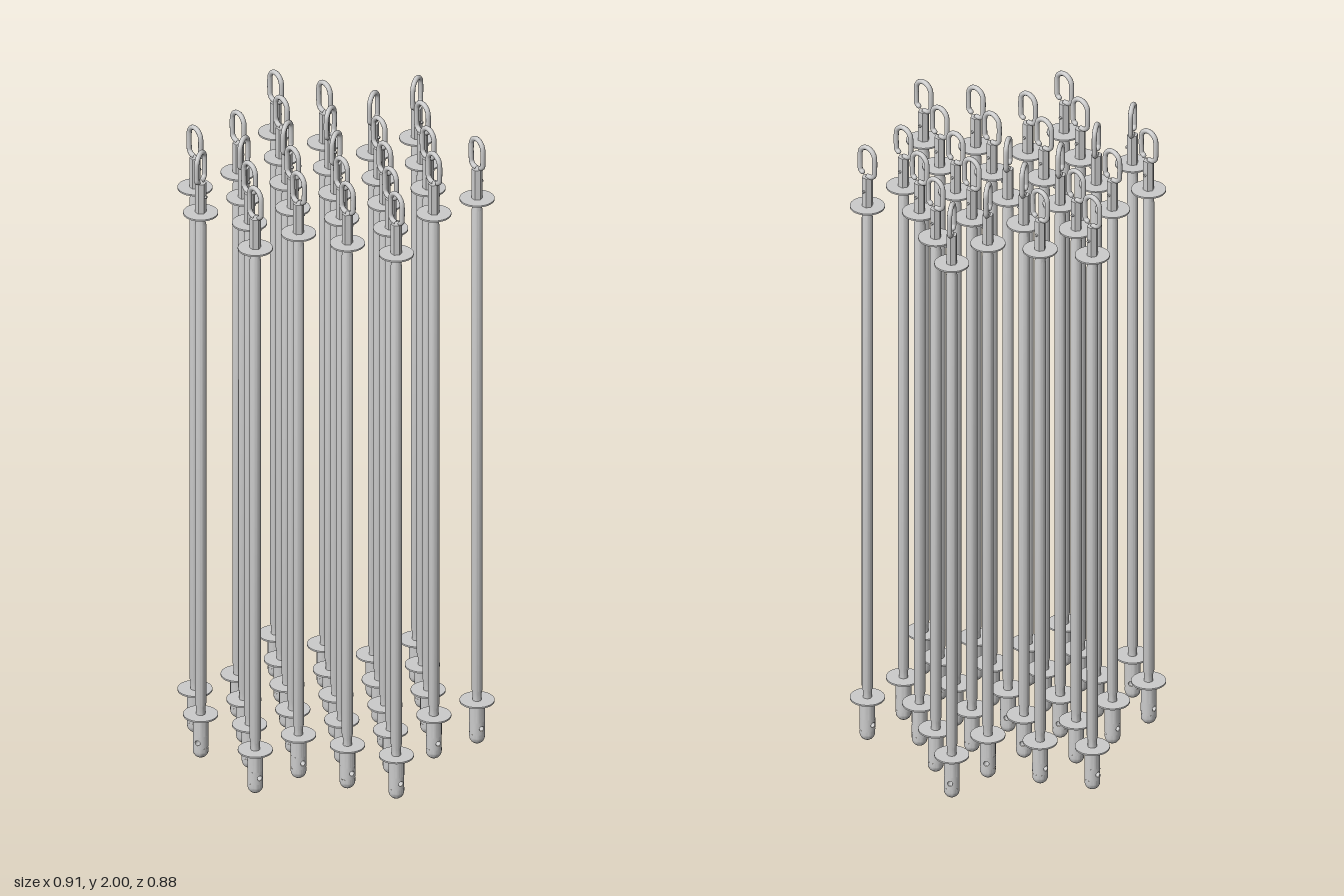
import * as THREE from 'three';
import { toCreasedNormals } from 'three/addons/utils/BufferGeometryUtils.js';

const V2 = (x, y) => new THREE.Vector2(x, y);
const V3 = (x, y, z = 0) => new THREE.Vector3(x, y, z);
const CAP_R = 0.023, HOLE_R = 0.008, HOLE_Y = 0.055, BAND = 0.02;

const lathe = (points, segments = 20) =>
  toCreasedNormals(new THREE.LatheGeometry(points.map(p => V2(...p)), segments), 0.6);

// Half of a cylinder wall with a round hole: a ring stretched to a rectangle and bent
function drilledHalf() {
  const geo = new THREE.RingGeometry(1, 2, 32, 5);
  const pos = geo.attributes.position, nor = geo.attributes.normal;
  for (let i = 0; i < pos.count; i++) {
    const x = pos.getX(i), y = pos.getY(i), r = Math.hypot(x, y);
    const c = x / r, s = y / r, m = Math.max(Math.abs(c), Math.abs(s)), k = r - 1;
    const phi = THREE.MathUtils.lerp(HOLE_R * c / CAP_R, c / m * Math.PI / 2, k);
    const v = THREE.MathUtils.lerp(HOLE_R * s, s / m * BAND, k);
    pos.setXYZ(i, CAP_R * Math.cos(phi), HOLE_Y + v, -CAP_R * Math.sin(phi));
    nor.setXYZ(i, Math.cos(phi), 0, -Math.sin(phi));
  }
  return geo;
}

// Hook outline: foot on the neck, closed side, round top, free end on +x
function hookCurve() {
  const r = 0.0285, top = 1.9635, pts = [V3(0, 1.897), V3(-0.017, 1.899), V3(-0.0265, 1.908), V3(-r, 1.925)];
  for (let i = 0; i <= 8; i++) {
    const a = Math.PI * (1 - i / 8);
    pts.push(V3(r * Math.cos(a), top + r * Math.sin(a)));
  }
  pts.push(V3(r, 1.925), V3(0.027, 1.91), V3(0.019, 1.904));
  return new THREE.CatmullRomCurve3(pts);
}

export function createModel() {
  const grey = new THREE.MeshStandardMaterial({ color: 0xcccccc });
  const faceted = new THREE.MeshStandardMaterial({ color: 0xcccccc, flatShading: true });
  const twoSided = new THREE.MeshStandardMaterial({ color: 0xcccccc, side: THREE.DoubleSide });

  // Rounded tip below the drilled band, plain collar above it
  const tip = [];
  for (let i = 0; i <= 6; i++) {
    const a = i / 6 * Math.PI / 2;
    tip.push([CAP_R * Math.sin(a), CAP_R * (1 - Math.cos(a))]);
  }
  tip.push([CAP_R, HOLE_Y - BAND]);

  const half = drilledHalf();
  const parts = [
    ['rod', lathe([[0.0135, 0.14], [0.0135, 0.165], [0.0165, 0.178], [0.0165, 1.757], [0.0135, 1.772], [0.0135, 1.8]]), grey],
    ['lowerTip', lathe(tip), grey],
    ['lowerCollar', lathe([[CAP_R, HOLE_Y + BAND], [CAP_R, 0.14]]), grey],
    ['drilledWallLeft', half, grey],
    ['drilledWallRight', half.clone().rotateY(Math.PI), grey],
    ['pinHole', new THREE.CylinderGeometry(HOLE_R, HOLE_R, CAP_R * 1.92, 16, 1, true)
      .rotateZ(Math.PI / 2).translate(0, HOLE_Y, 0), twoSided],
    ['lowerDisc', new THREE.CylinderGeometry(0.051, 0.051, 0.005, 40).translate(0, 0.14, 0), grey],
    ['upperDisc', new THREE.CylinderGeometry(0.051, 0.051, 0.005, 40).translate(0, 1.796, 0), grey],
    ['hexNeck', new THREE.CylinderGeometry(0.0165, 0.0165, 0.1, 6, 1, false, Math.PI / 6).translate(0, 1.845, 0), faceted],
    ['neckScrew', new THREE.CylinderGeometry(0.004, 0.004, 0.007, 10)
      .rotateX(Math.PI / 2).translate(0, 1.85, -0.0165), grey],
    ['hook', new THREE.TubeGeometry(hookCurve(), 48, 0.0075, 10), grey],
    ['hookEnd', new THREE.SphereGeometry(0.0075, 10, 8).translate(0.019, 1.904, 0), grey],
  ];

  // Hexagonal layout: per column, the rows (in half pitches) that hold a rod
  const columns = {
    '-3': [-1],
    '-2': [-2, 0, 2, 4],
    '-1': [-5, -3, -1, 1, 3, 5],
    '0': [-4, -2, 0, 2, 4],
    '1': [-3, -1, 1, 3, 5],
    '2': [-4, -2, 0, 2],
    '3': [1],
  };
  const pitch = 0.1555;
  const model = new THREE.Group();
  model.name = 'hookedRodBundle';
  for (const [key, rows] of Object.entries(columns)) {
    const col = Number(key);
    for (const row of rows) {
      const rod = new THREE.Group();
      rod.name = 'hookedRod';
      for (const [name, geo, mat] of parts) {
        const mesh = new THREE.Mesh(geo, mat);
        mesh.name = name;
        rod.add(mesh);
      }
      rod.position.set(col * pitch * Math.sqrt(3) / 2, 0, row * pitch / 2);
      // One column and the centre rod are turned
      if (col === -1 || (col === 0 && row === 0)) rod.rotation.y = -Math.PI / 3;
      model.add(rod);
    }
  }
  return model;
}
